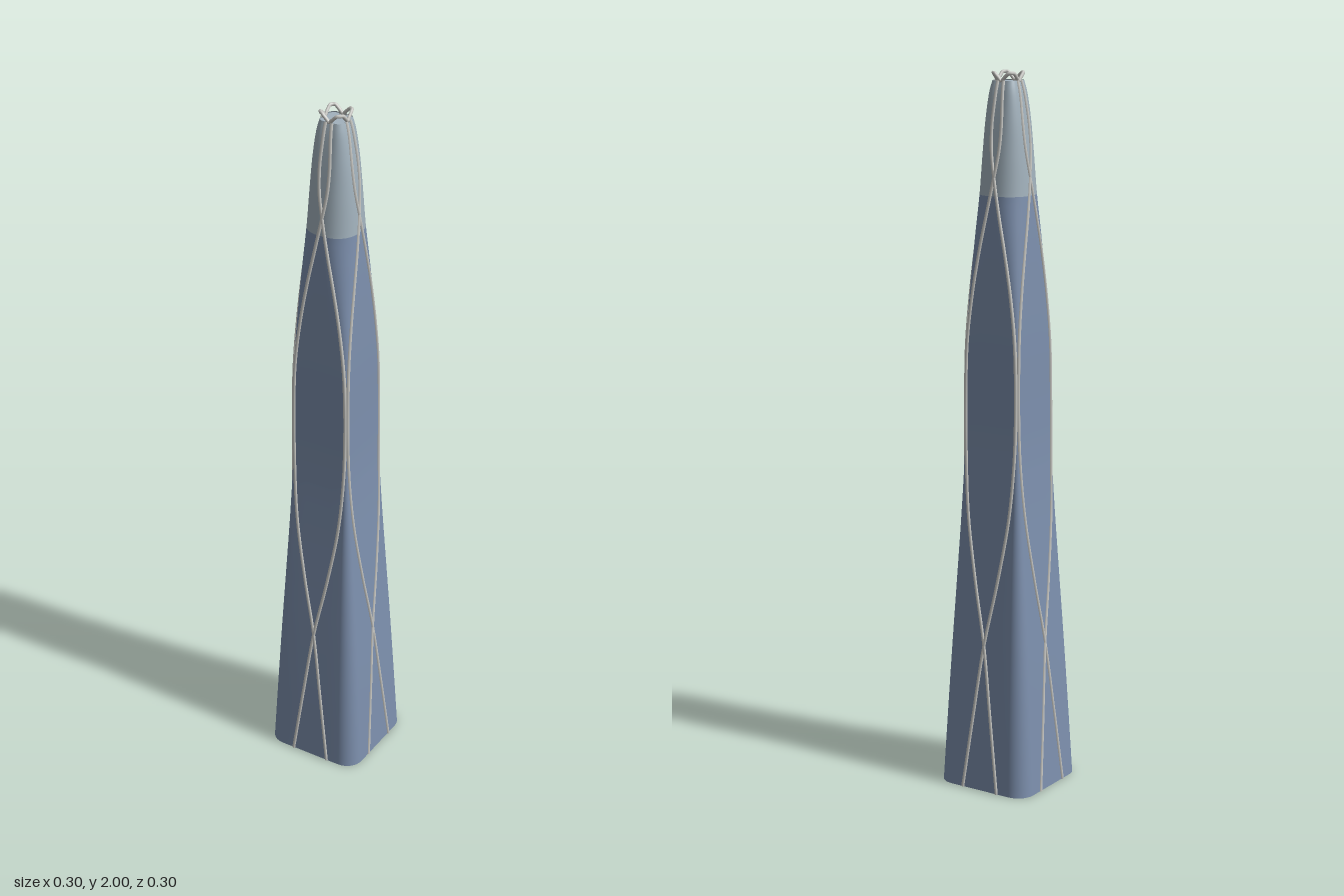
import * as THREE from 'three';

const glass = new THREE.MeshStandardMaterial({ name: 'blue glass', color: 0x7d90ae, side: THREE.DoubleSide });
const crownGlass = new THREE.MeshStandardMaterial({ name: 'pale crown glass', color: 0xa2b2bd, side: THREE.DoubleSide });
const metal = new THREE.MeshStandardMaterial({ name: 'light metal', color: 0xcacac6 });

// Tower profile: height, half width, corner radius
const profile = new THREE.CatmullRomCurve3([
  [0, 0.147, 0.05], [0.2, 0.136, 0.044], [0.4, 0.124, 0.036], [0.6, 0.111, 0.027],
  [0.8, 0.098, 0.017], [0.95, 0.09, 0.01], [1.1, 0.087, 0.007], [1.25, 0.086, 0.01],
  [1.4, 0.083, 0.025], [1.55, 0.079, 0.048], [1.67, 0.073, 0.06], [1.78, 0.064, 0.05],
  [1.88, 0.053, 0.034], [1.95, 0.042, 0.022], [1.98, 0.034, 0.016],
].map(p => new THREE.Vector3(...p)), false, 'centripetal');
const samples = profile.getPoints(280);

function sectionAt(y) {
  let i = samples.findIndex(p => p.x >= y);
  if (i < 0) i = samples.length - 1;
  if (i === 0) return { w: samples[0].y, r: samples[0].z };
  const a = samples[i - 1], b = samples[i];
  const t = Math.min(1, (y - a.x) / (b.x - a.x));
  return { w: a.y + (b.y - a.y) * t, r: a.z + (b.z - a.z) * t };
}

// Rounded square outline as [x, z] pairs
function outline({ w, r }) {
  const pts = [], c = w - r, corner = 7, flat = 4;
  for (let q = 0; q < 4; q++) {
    const cs = Math.round(Math.cos(q * Math.PI / 2)), sn = Math.round(Math.sin(q * Math.PI / 2));
    const add = (x, z) => pts.push([x * cs - z * sn, x * sn + z * cs]);
    for (let i = 1; i < flat; i++) add(w, c * (2 * i / flat - 1));
    for (let i = 0; i <= corner; i++) {
      const a = i / corner * Math.PI / 2;
      add(c + r * Math.cos(a), c + r * Math.sin(a));
    }
  }
  return pts;
}

// Smooth skin between two heights
function skin(name, y0, y1, rows, material) {
  const pos = [], index = [];
  let n = 0;
  for (let i = 0; i <= rows; i++) {
    const y = y0 + (y1 - y0) * i / rows;
    const ring = outline(sectionAt(y));
    n = ring.length;
    ring.forEach(([x, z]) => pos.push(x, y, z));
  }
  for (let i = 0; i < rows; i++) for (let j = 0; j < n; j++) {
    const a = i * n + j, b = i * n + (j + 1) % n;
    index.push(a, a + n, b, b, a + n, b + n);
  }
  const g = new THREE.BufferGeometry();
  g.setAttribute('position', new THREE.Float32BufferAttribute(pos, 3));
  g.setIndex(index);
  g.computeVertexNormals();
  const mesh = new THREE.Mesh(g, material);
  mesh.name = name;
  return mesh;
}

// Point on the front face at sideways offset x
function onFace(x, y) {
  const { w, r } = sectionAt(y);
  const over = Math.min(Math.abs(x) - (w - r), r);
  const z = over <= 0 ? w : w - r + Math.sqrt(Math.max(0, r * r - over * over));
  return new THREE.Vector3(x, y, z);
}

// Sideways sweep of a rib up one face: offset, height
const ribPath = new THREE.CatmullRomCurve3([
  [-0.057, 0], [-0.029, 0.21], [0, 0.42], [0.036, 0.6], [0.066, 0.78], [0.078, 0.93],
  [0.0815, 1.1], [0.077, 1.27], [0.062, 1.4], [0.041, 1.52], [0.02, 1.62], [0, 1.72],
  [-0.012, 1.79], [-0.015, 1.86], [-0.012, 1.92], [-0.009, 1.975],
].map(([x, y]) => new THREE.Vector3(x, y, 0)), false, 'centripetal');

export function createModel() {
  const tower = new THREE.Group();
  tower.name = 'tower';
  tower.add(skin('glassShaft', 0, 1.67, 70, glass));
  tower.add(skin('glassCrown', 1.67, 1.975, 24, crownGlass));

  // Flat roof inside the crown rim
  const top = sectionAt(1.975);
  const roofShape = new THREE.Shape(outline(top).map(([x, z]) => new THREE.Vector2(x, -z)).reverse());
  const roof = new THREE.Mesh(new THREE.ShapeGeometry(roofShape), crownGlass);
  roof.rotation.x = -Math.PI / 2;
  roof.position.y = 1.972;
  roof.name = 'roof';
  tower.add(roof);

  // Crossing pairs of ribs on each of the four faces
  const ribGeometry = side => new THREE.TubeGeometry(
    new THREE.CatmullRomCurve3(ribPath.getPoints(90).map(p => onFace(p.x * side, p.y))), 160, 0.005, 6);
  const pair = [ribGeometry(1), ribGeometry(-1)];
  for (let f = 0; f < 4; f++) {
    const face = new THREE.Group();
    face.name = 'faceRibs';
    face.rotation.y = f * Math.PI / 2;
    pair.forEach(g => {
      const rib = new THREE.Mesh(g, metal);
      rib.name = 'rib';
      face.add(rib);
    });
    tower.add(face);
  }

  // Rim that rises at the corners
  const rimPoints = outline(top).map(([x, z]) => {
    const rise = Math.min(Math.abs(x), Math.abs(z)) / top.w;
    return new THREE.Vector3(x * 0.95, 1.974 + 0.021 * Math.min(1, rise * 1.5), z * 0.95);
  });
  const rim = new THREE.Mesh(
    new THREE.TubeGeometry(new THREE.CatmullRomCurve3(rimPoints, true), 96, 0.005, 6, true), metal);
  rim.name = 'crownRim';
  tower.add(rim);
  return tower;
}
